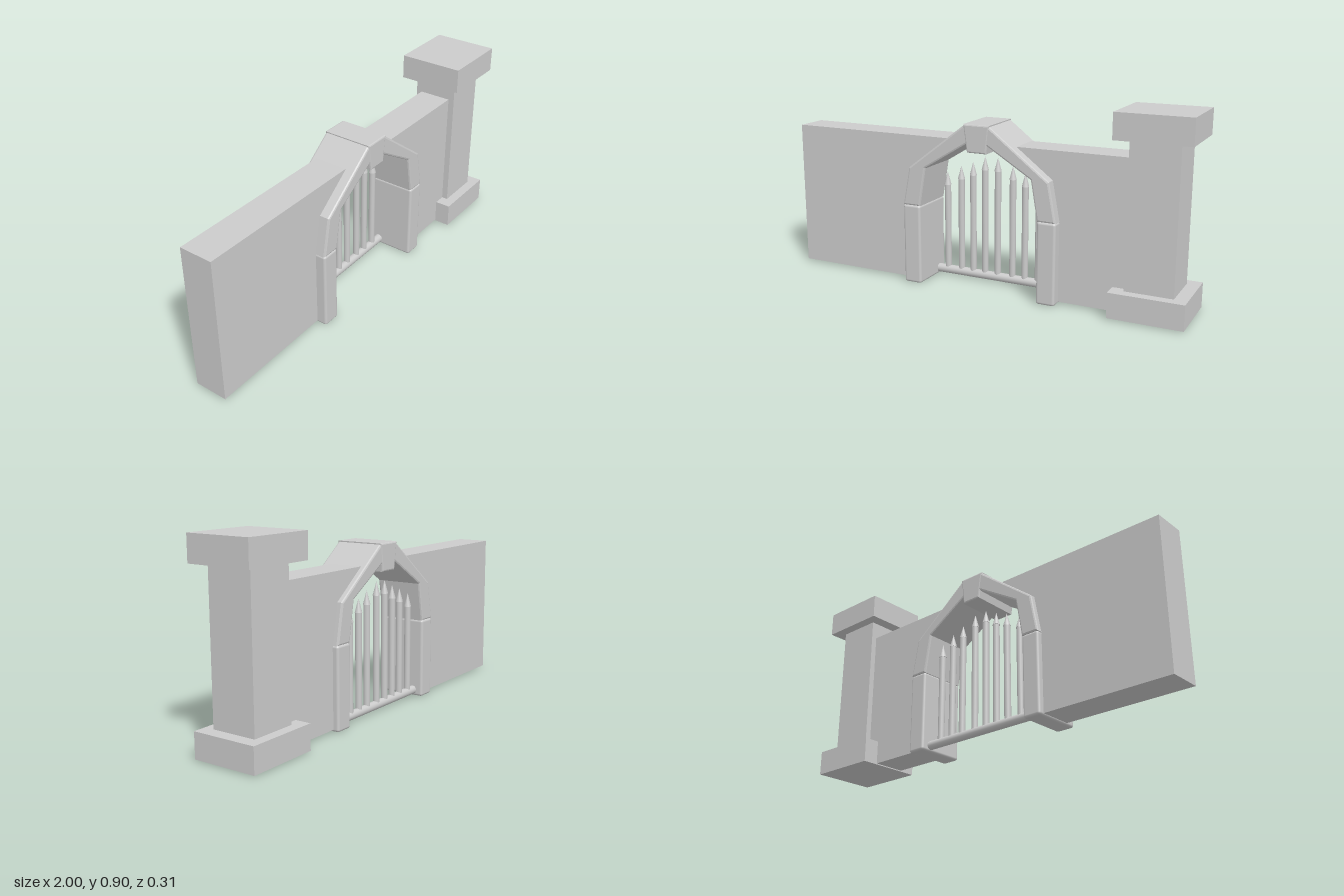
import * as THREE from 'three';
import { RoundedBoxGeometry } from 'three/addons/geometries/RoundedBoxGeometry.js';

const material = new THREE.MeshStandardMaterial({ color: 0xcccccc });
const CX = 0.01;                  // arch centre line
const Z0 = -0.108, Z1 = 0.13;     // arch back and front

export function createModel() {
  const model = new THREE.Group();

  const add = (name, geometry, x = 0, y = 0, z = 0) => {
    const mesh = new THREE.Mesh(geometry, material);
    mesh.name = name;
    mesh.position.set(x, y, z);
    model.add(mesh);
    return mesh;
  };

  // Box given by its limits
  const box = (name, x0, x1, y0, y1, z0, z1, round = 0) => {
    const size = [x1 - x0, y1 - y0, z1 - z0];
    const geometry = round ? new RoundedBoxGeometry(...size, 3, round) : new THREE.BoxGeometry(...size);
    return add(name, geometry, (x0 + x1) / 2, (y0 + y1) / 2, (z0 + z1) / 2);
  };

  // Outline in the xy plane pushed from z0 to z1, with an inward bevel
  const slab = (name, points, z0, z1, bevel = 0) => {
    let outline = points.map(p => new THREE.Vector2(...p));
    if (THREE.ShapeUtils.isClockWise(outline)) outline = outline.reverse();
    const geometry = new THREE.ExtrudeGeometry(new THREE.Shape(outline), {
      depth: z1 - z0 - 2 * bevel,
      bevelEnabled: bevel > 0,
      bevelSize: bevel,
      bevelThickness: bevel,
      bevelOffset: -bevel,
      bevelSegments: 2,
    });
    geometry.translate(0, 0, z0 + bevel);
    return add(name, geometry);
  };

  // Walls, cut to end inside the arch stones
  slab('rightWall', [[-1, 0.01], [-0.335, 0.01], [-0.335, 0.385], [-0.3, 0.57],
    [-0.16, 0.67], [-0.16, 0.715], [-1, 0.715]], -0.08, 0.08);
  slab('leftWall', [[0.8, 0.01], [0.355, 0.01], [0.355, 0.385], [0.32, 0.57],
    [0.19, 0.665], [0.19, 0.705], [0.8, 0.705]], -0.08, 0.08);

  // End pillar
  box('pillarBase', 0.655, 0.995, 0.005, 0.122, -0.157, 0.157);
  box('pillarShaft', 0.715, 0.935, 0.122, 0.787, -0.108, 0.11);
  box('pillarCap', 0.655, 0.995, 0.787, 0.905, -0.157, 0.157);

  // Arch: a post and a bent upper stone on each side
  for (const [side, s] of [['left', 1], ['right', -1]]) {
    const a = CX + s * 0.3, b = CX + s * 0.39;
    box(side + 'ArchPost', Math.min(a, b), Math.max(a, b), 0, 0.387, Z0, Z1, 0.012);
    const half = [[0.39, 0.385], [0.355, 0.57], [0.06, 0.795], [0.03, 0.795],
      [0.03, 0.715], [0.05, 0.705], [0.268, 0.572], [0.3, 0.385]];
    slab(side + 'ArchStone', half.map(([x, y]) => [CX + s * x, y]), Z0, Z1, 0.009);
  }

  // Keystone
  slab('keystone', [[-0.055, 0.797], [0.075, 0.797], [0.06, 0.667], [-0.037, 0.667]],
    Z0 - 0.002, Z1 + 0.002, 0.007);

  // Gate: bottom rail and pointed bars
  const gateZ = -0.055;
  add('gateRail', new THREE.CylinderGeometry(0.021, 0.021, 0.6, 20), CX, 0.029, gateZ).rotation.z = Math.PI / 2;

  const bars = [[-0.238, 0.525], [-0.163, 0.56], [-0.099, 0.585], [-0.035, 0.617],
    [0.032, 0.617], [0.11, 0.585], [0.174, 0.558], [0.243, 0.525]];
  const tip = 0.065, foot = 0.035;
  for (const [x, top] of bars) {
    const length = top - tip - foot;
    add('gateBar', new THREE.CylinderGeometry(0.0155, 0.0155, length, 16), x, foot + length / 2, gateZ);
    add('gateBarTip', new THREE.ConeGeometry(0.0175, tip, 16), x, top - tip / 2, gateZ);
  }

  return model;
}
